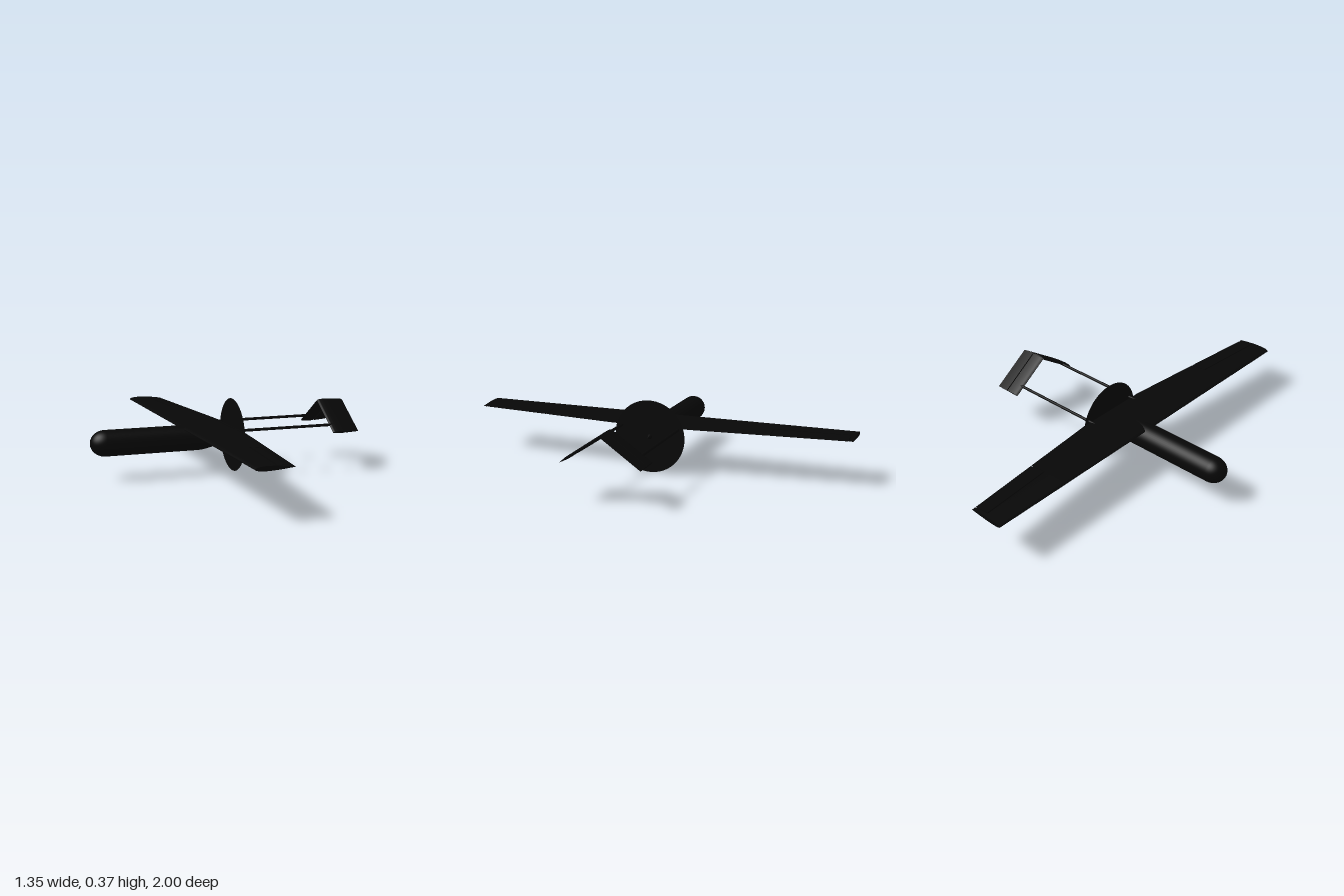
import * as THREE from 'three';
import { toCreasedNormals } from 'three/addons/utils/BufferGeometryUtils.js';

const material = new THREE.MeshStandardMaterial({ color: 0x070707 });
const discMaterial = new THREE.MeshStandardMaterial({ color: 0x070707, side: THREE.DoubleSide });

function add(parent, name, geometry, mat = material) {
  const mesh = new THREE.Mesh(geometry, mat);
  mesh.name = name;
  parent.add(mesh);
  return mesh;
}

// Half thickness of an aerofoil at chord fraction t (1 at the thickest point)
const halfThickness = t => Math.max(0.04,
  10 * (0.2969 * Math.sqrt(t) - 0.126 * t - 0.3516 * t * t + 0.2843 * t ** 3 - 0.1015 * t ** 4));
const camber = t => 0.1 * 4 * t * (1 - t);

// Lofts an aerofoil, or a chordwise slice of it, along z.
// Each section: z, full chord x0..x1, slice a..b (x positions), half thickness h.
function loft(sections, side) {
  const N = 14, ring = 2 * (N + 1), pos = [], index = [];
  for (const { z, x0, x1, a = x0, b = x1, h } of sections) {
    for (let i = 0; i < ring; i++) {
      const upper = i <= N;
      const u = (upper ? i : ring - 1 - i) / N;
      const x = a + (b - a) * (1 - Math.cos(u * Math.PI)) / 2;
      const t = Math.min(1, Math.max(0, (x - x0) / (x1 - x0)));
      pos.push(x, h * (camber(t) + (upper ? 1 : -1) * halfThickness(t)), z * side);
    }
  }
  const tri = (a, b, c) => (side > 0 ? index.push(a, b, c) : index.push(a, c, b));
  for (let s = 0; s < sections.length - 1; s++) {
    for (let i = 0; i < ring; i++) {
      const j = (i + 1) % ring, p = s * ring, q = p + ring;
      tri(p + i, q + i, q + j);
      tri(p + i, q + j, p + j);
    }
  }
  // End caps
  const last = (sections.length - 1) * ring;
  for (let i = 0; i < N; i++) {
    const k = ring - 1 - i;
    tri(i, i + 1, k - 1);
    tri(i, k - 1, k);
    tri(last + i, last + k - 1, last + i + 1);
    tri(last + i, last + k, last + k - 1);
  }
  const g = new THREE.BufferGeometry();
  g.setAttribute('position', new THREE.Float32BufferAttribute(pos, 3));
  g.setIndex(index);
  return toCreasedNormals(g, 0.7);
}

// Body of revolution along x from [x, radius] points
function turned(points, segments) {
  const g = new THREE.LatheGeometry(points.map(([x, r]) => new THREE.Vector2(r, -x)).reverse(), segments);
  return g.rotateZ(Math.PI / 2);
}

// Wing plan at a span position
function wingSection(z, slice = {}) {
  const x1 = z <= 0.2 ? 0.045 : 0.045 - 0.075 * (z - 0.2) / 0.8;
  return { z, x0: -0.21, x1, h: 0.0125 - 0.0015 * z, ...slice };
}
const hinge = z => -0.08 - 0.028 * (z - 0.6) / 0.38;

export function createModel() {
  const model = new THREE.Group();
  model.name = 'twinBoomAircraft';

  // Fuselage: round nose, straight tube, pointed tail
  const profile = [];
  for (let i = 0; i <= 12; i++) {
    const a = i / 12 * Math.PI / 2;
    profile.push([-0.6 - 0.074 * Math.cos(a), 0.065 * Math.sin(a)]);
  }
  for (let i = 0; i <= 12; i++) {
    const t = i / 12;
    profile.push([-0.13 + 0.217 * t, 0.065 * (1 - t ** 1.6)]);
  }
  add(model, 'fuselage', turned(profile, 48)).position.y = 0.186;

  // Propeller disc
  const disc = add(model, 'propellerDisc', new THREE.CircleGeometry(0.185, 64).rotateY(Math.PI / 2), discMaterial);
  disc.position.set(0.06, 0.187, 0);

  const wing = new THREE.Group();
  wing.name = 'wing';
  wing.position.y = 0.237;
  model.add(wing);

  const tail = new THREE.Group();
  tail.name = 'invertedVTail';
  tail.position.y = 0.338;
  model.add(tail);

  for (const side of [1, -1]) {
    const label = side > 0 ? 'left' : 'right';

    // Wing panels around the aileron cut-out
    add(wing, label + 'InnerWing', loft([0, 0.2, 0.6].map(z => wingSection(z)), side));
    add(wing, label + 'OuterWing', loft([0.6, 0.98].map(z => wingSection(z, { b: hinge(z) - 0.003 })), side));
    add(wing, label + 'WingTip', loft([0.98, 1].map(z => wingSection(z)), side));
    add(wing, label + 'Aileron', loft([0.604, 0.976].map(z => wingSection(z, { a: hinge(z) + 0.003 })), side));

    // Tail boom with a pointed front end
    const boom = add(model, label + 'Boom', turned(
      [[-0.11, 0], [-0.08, 0.005], [-0.04, 0.0072], [0.58, 0.0072], [0.59, 0]], 16));
    boom.position.set(0, 0.234, 0.15 * side);

    // Sloping tail panel: fixed front, hinged rear
    const panel = new THREE.Group();
    panel.name = label + 'TailPanel';
    panel.rotation.x = side * Math.atan2(0.138, 0.2);
    tail.add(panel);
    const span = slice => [0, 0.24].map(z => ({ z, x0: 0.53, x1: 0.672, h: 0.007, ...slice }));
    add(panel, label + 'Stabilizer', loft(span({ b: 0.6 }), side));
    add(panel, label + 'Ruddervator', loft(span({ a: 0.606 }), side));
    for (const z of [0.004, 0.122, 0.236]) {
      add(panel, 'hinge', new THREE.BoxGeometry(0.016, 0.004, 0.008)).position.set(0.603, 0, z * side);
    }
  }
  return model;
}
